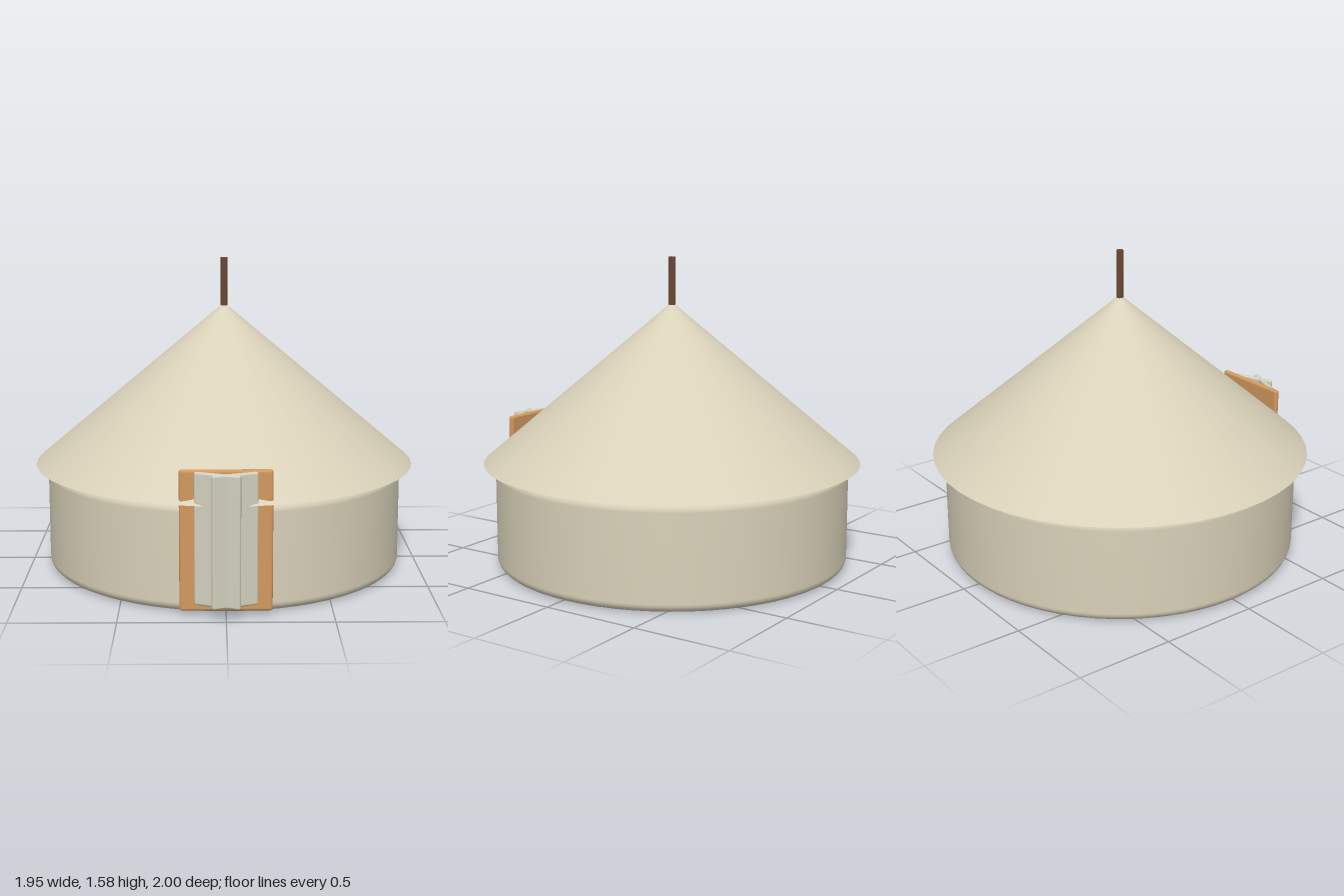
import * as THREE from 'three';
import { RoundedBoxGeometry } from 'three/addons/geometries/RoundedBoxGeometry.js';
import { toCreasedNormals } from 'three/addons/utils/BufferGeometryUtils.js';

const CENTER_Z = -0.027;

function material(name, color) {
  const m = new THREE.MeshStandardMaterial({ color });
  m.name = name;
  return m;
}

export function createModel() {
  const group = new THREE.Group();
  group.name = 'roundTent';
  const canvas = material('canvas', 0xd9d1b9);
  const flapCloth = material('flapCloth', 0xd3d0be);
  const frameWood = material('frameWood', 0xd2995f);
  const poleWood = material('poleWood', 0x6b4a36);

  function add(name, geometry, mat, x, y, z) {
    const mesh = new THREE.Mesh(geometry, mat);
    mesh.name = name;
    mesh.position.set(x, y, z);
    group.add(mesh);
    return mesh;
  }

  // Round wall: a closed drum with softly rounded rims
  const radius = 0.912, height = 0.525, bevel = 0.045;
  const profile = [new THREE.Vector2(0, 0)];
  for (const [cy, start] of [[bevel, -Math.PI / 2], [height - bevel, 0]]) {
    for (let i = 0; i <= 5; i++) {
      const a = start + (i / 5) * Math.PI / 2;
      profile.push(new THREE.Vector2(radius - bevel + bevel * Math.cos(a), cy + bevel * Math.sin(a)));
    }
  }
  profile.push(new THREE.Vector2(0, height));
  add('wall', new THREE.LatheGeometry(profile, 64), canvas, 0, 0, CENTER_Z);

  // Conical roof with a flat underside overhanging the wall
  const roof = toCreasedNormals(new THREE.ConeGeometry(0.973, 0.82, 48), 0.7);
  add('roof', roof, canvas, 0, 0.53 + 0.41, CENTER_Z);

  // Centre pole rising from the peak
  const pole = toCreasedNormals(new THREE.CylinderGeometry(0.018, 0.018, 0.25, 8), 0.9);
  add('centrePole', pole, poleWood, 0, 1.455, CENTER_Z);

  // Door board
  add('doorBoard', new RoundedBoxGeometry(0.432, 0.67, 0.03, 3, 0.013), frameWood, 0, 0.355, 0.89);

  // Two crossed cloth door flaps
  for (const side of [-1, 1]) {
    const flap = add(side < 0 ? 'rightFlap' : 'leftFlap',
      new RoundedBoxGeometry(0.226, 0.63, 0.025, 3, 0.011), flapCloth,
      side * 0.04, 0.37, 0.949);
    flap.rotation.y = side * 0.358;
  }
  return group;
}
